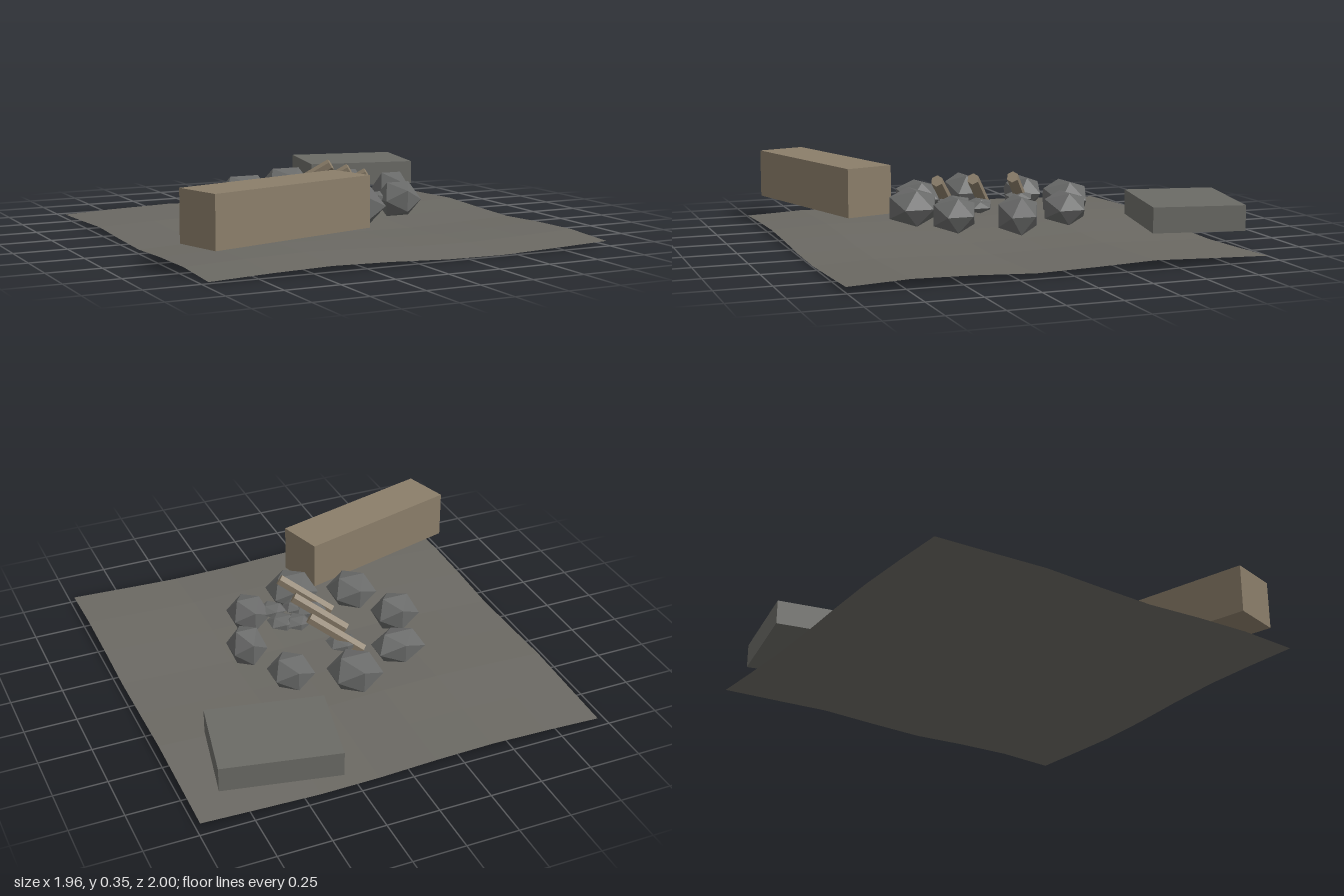
import * as THREE from 'three';

const mat = (name, color, side = THREE.FrontSide) =>
  new THREE.MeshStandardMaterial({ name, color, flatShading: true, side });

export function createModel() {
  const group = new THREE.Group();
  const earth = mat('earth', 0x6b6963, THREE.DoubleSide);
  const rock = mat('rock', 0x696a69);
  const slabStone = mat('slabStone', 0x6b6b66);
  const wood = mat('wood', 0x8b7e6a);

  const add = (name, geometry, material, x, y, z) => {
    const mesh = new THREE.Mesh(geometry, material);
    mesh.name = name;
    mesh.position.set(x, y, z);
    group.add(mesh);
    return mesh;
  };

  // Gently rolling ground sheet
  const ground = new THREE.PlaneGeometry(1.95, 1.95, 7, 7).rotateX(-Math.PI / 2).translate(0.005, 0, 0.025);
  const p = ground.attributes.position;
  for (let i = 0; i < p.count; i++) {
    const x = p.getX(i), z = p.getZ(i);
    p.setY(i, 0.026 + 0.011 * Math.cos(4.2 * (x + 0.4)) + 0.009 * Math.cos(6 * (z + 0.4)));
  }
  ground.computeVertexNormals();
  add('ground', ground, earth, 0, 0, 0);

  // Faceted stone given by its half extents
  const unitStone = new THREE.IcosahedronGeometry(1 / 0.8507, 0);
  const stone = (name, x, y, z, hx, hy, hz) =>
    add(name, unitStone, rock, x, y, z).scale.set(hx, hy, hz);

  // Ring of hearth stones: x, z, half extents
  [
    [0.005, -0.37, 0.115, 0.085, 0.11],
    [0.28, -0.255, 0.097, 0.075, 0.1],
    [0.393, 0.025, 0.083, 0.088, 0.095],
    [0.282, 0.295, 0.093, 0.08, 0.1],
    [0.005, 0.41, 0.115, 0.085, 0.113],
    [-0.272, 0.295, 0.108, 0.078, 0.112],
    [-0.385, 0.022, 0.105, 0.085, 0.092],
    [-0.272, -0.255, 0.118, 0.075, 0.086],
  ].forEach(([x, z, hx, hy, hz]) => stone('hearthStone', x, 0.177, z, hx, hy, hz));

  // Small flat stones in the fire bed: x, z, half width
  [[-0.03, -0.14, 0.068], [0.1, 0.11, 0.06], [0.165, 0.14, 0.065],
    [0.0, 0.2, 0.075], [0.05, 0.24, 0.06], [0.17, 0.26, 0.06]]
    .forEach(([x, z, r]) => stone('emberStone', x, 0.187, z, r, 0.026, r));

  // Three leaning firewood sticks
  const low = new THREE.Vector3(-0.115, 0.155, -0.195);
  const high = new THREE.Vector3(0.105, 0.31, -0.06);
  const dir = high.clone().sub(low);
  const stick = new THREE.CylinderGeometry(0.029, 0.029, dir.length(), 6);
  const mid = low.clone().add(high).multiplyScalar(0.5);
  for (const dz of [0, 0.2, 0.38]) {
    add('firewood', stick, wood, mid.x, mid.y, mid.z + dz)
      .quaternion.setFromUnitVectors(new THREE.Vector3(0, 1, 0), dir.clone().normalize());
  }

  // Timber bench and stone slab
  add('bench', new THREE.BoxGeometry(0.867, 0.235, 0.24), wood, -0.53, 0.242, 0.705).rotation.y = 0.28;
  add('slab', new THREE.BoxGeometry(0.545, 0.118, 0.43), slabStone, 0.562, 0.184, -0.738).rotation.y = -0.2;

  return group;
}
